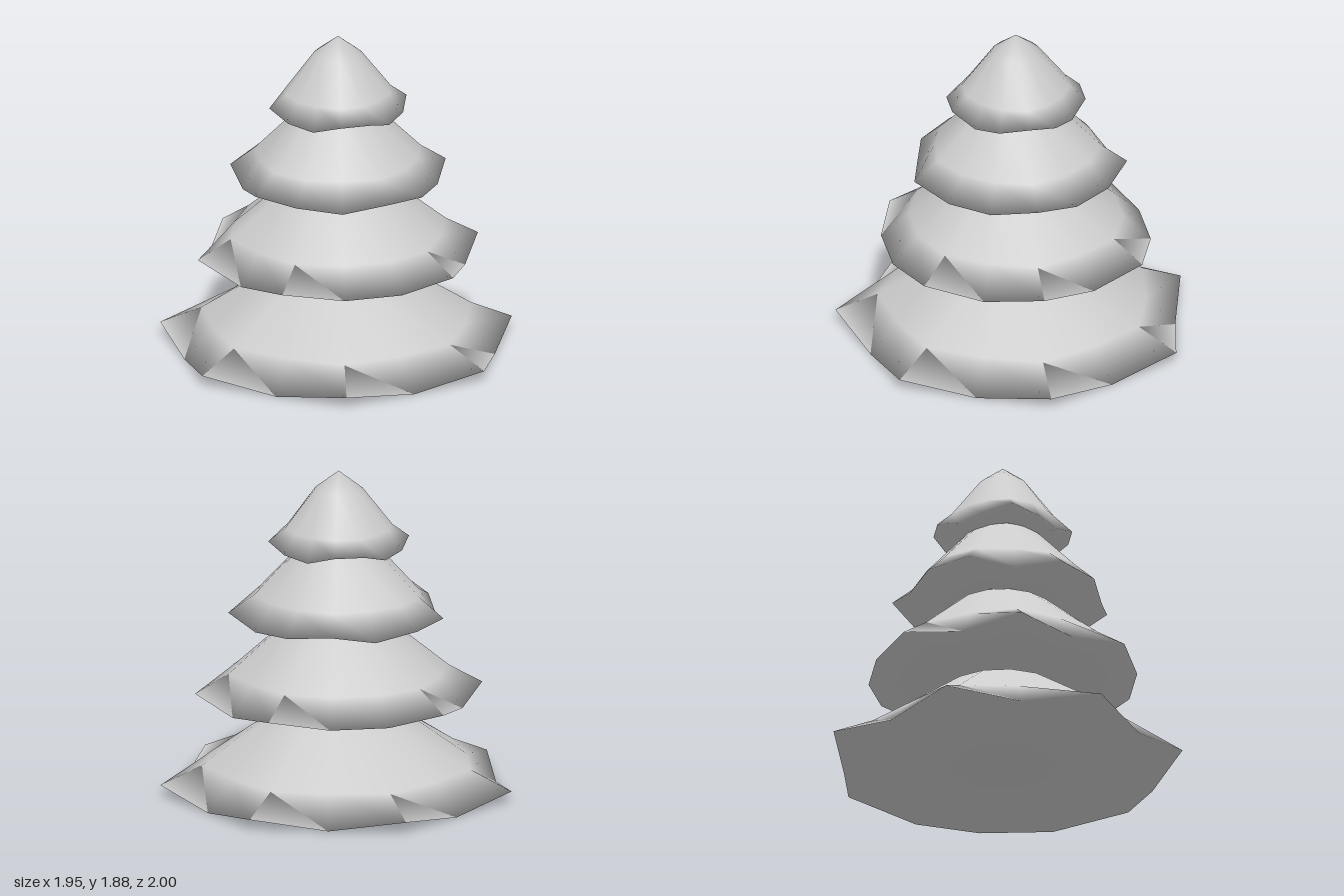
import * as THREE from 'three';

const SEGMENTS = 14;
const CENTER_X = -0.055;

// One tier of boughs: a closed smooth skirt whose rim waves in radius and height.
function tierGeometry({ base, height, radius, waves }) {
  // rings from top to rim: radius share, height above base, radius wave, height wave
  const rings = [
    [0.36, height * 0.774, 0, 0],
    [0.79, height * 0.29, 0.031, 0],
    [1, 0.0325, 0.062, 0.0325],
  ];
  const positions = [0, base + height, 0];
  for (const [share, y, waveR, waveY] of rings) {
    for (let k = 0; k < SEGMENTS; k++) {
      const a = (k / SEGMENTS) * Math.PI * 2;
      const wave = Math.cos(waves * a);
      const r = radius * share * (1 + waveR * wave);
      positions.push(Math.cos(a) * r, base + y + waveY * wave, Math.sin(a) * r);
    }
  }
  const bottom = positions.length / 3;
  positions.push(0, base + 0.003, 0);

  const index = [];
  const at = (ring, k) => 1 + ring * SEGMENTS + (k % SEGMENTS);
  for (let k = 0; k < SEGMENTS; k++) {
    index.push(0, at(0, k + 1), at(0, k)); // tip
    for (let ring = 0; ring < rings.length - 1; ring++) {
      const a = at(ring, k), b = at(ring, k + 1);
      const c = at(ring + 1, k), d = at(ring + 1, k + 1);
      index.push(a, b, c, b, d, c);
    }
    index.push(bottom, at(2, k), at(2, k + 1)); // underside
  }
  const geometry = new THREE.BufferGeometry();
  geometry.setAttribute('position', new THREE.Float32BufferAttribute(positions, 3));
  geometry.setIndex(index);
  geometry.computeVertexNormals();
  return geometry;
}

export function createModel() {
  const model = new THREE.Group();
  model.name = 'layeredTree';
  const foliage = new THREE.MeshStandardMaterial({ color: 0xcccccc });
  foliage.name = 'pale grey foliage';

  // each tier upward is smaller and has one wave fewer
  const tiers = [
    { name: 'bottomTier', base: 0, height: 0.594, radius: 0.965, waves: 7 },
    { name: 'lowerMiddleTier', base: 0.53, height: 0.6, radius: 0.777, waves: 6 },
    { name: 'upperMiddleTier', base: 1.0, height: 0.56, radius: 0.598, waves: 5 },
    { name: 'topTier', base: 1.41, height: 0.465, radius: 0.381, waves: 4 },
  ];
  for (const tier of tiers) {
    const mesh = new THREE.Mesh(tierGeometry(tier), foliage);
    mesh.name = tier.name;
    mesh.position.x = CENTER_X;
    model.add(mesh);
  }
  return model;
}
